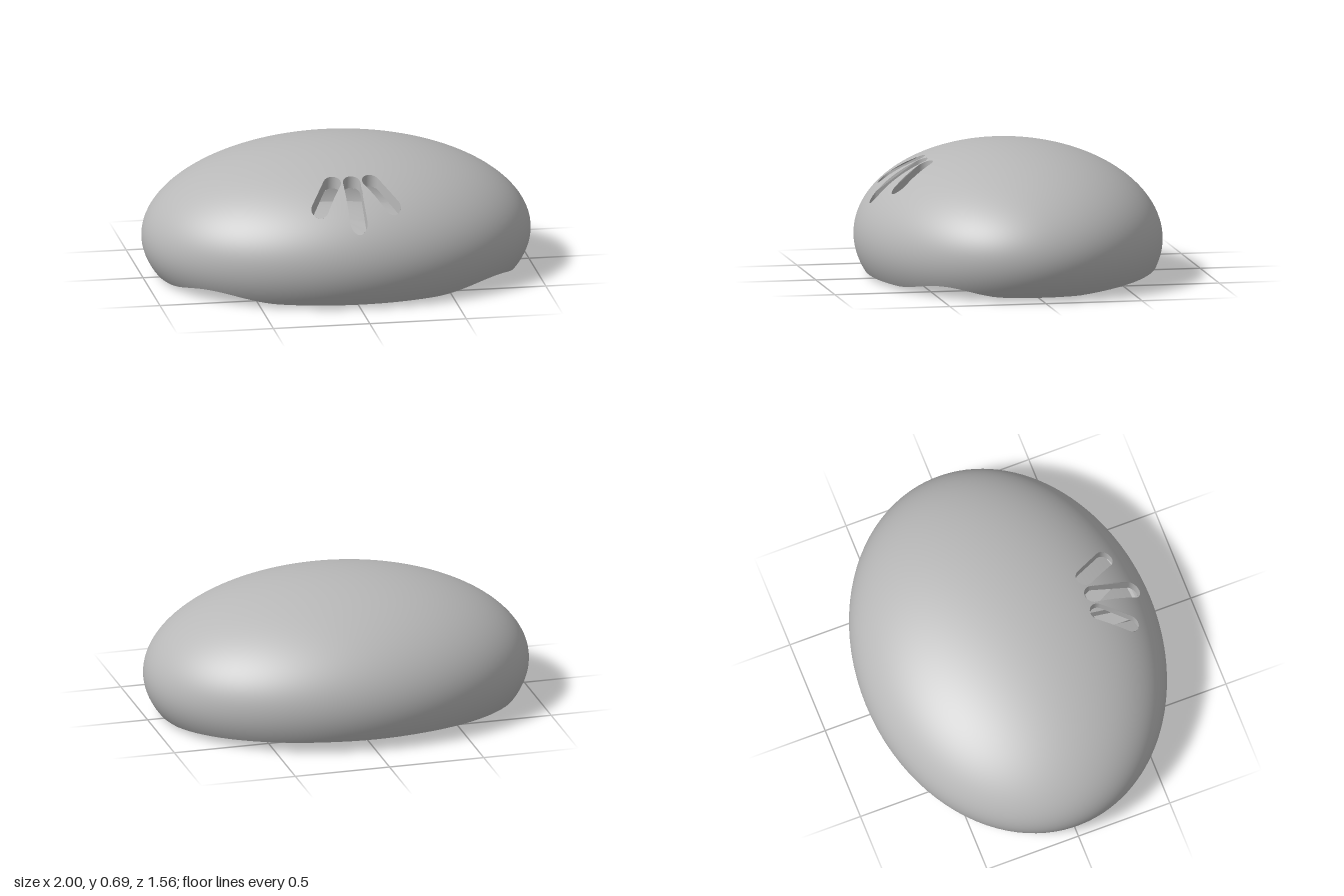
import * as THREE from 'three';

const RX = 1, RY = 0.49, RZ = 0.78, MID = 0.2;   // outer dome
const IX = 0.94, IY = 0.43, IZ = 0.73;           // inner hollow
const SLOT_R = 0.045, SNAP = 0.013, SEGS = 150;
const SLOTS = [[0, 0.465, 0, 0.675], [0.1, 0.457, 0.186, 0.597], [-0.1, 0.457, -0.186, 0.597]];

// Wavy lower rim: low at the front and sides, arched between, raised at the back
function rimY(angle) {
  const a = Math.abs(Math.atan2(Math.sin(angle), Math.cos(angle)));
  if (a < 0.44) return 0.02;
  if (a < 1.3) return 0.02 + 0.042 * Math.sin(Math.PI * (a - 0.44) / 0.86) ** 2;
  return 0.02 + 0.04 * Math.min(1, Math.max(0, (-Math.cos(a) * 0.75 - 0.2) / 0.53));
}
const rimAngle = (a) => Math.acos((rimY(a) - MID) / RY);

// Heights of the surfaces over a point in plan
const domeY = (x, z, rx, ry, rz) => MID + ry * Math.sqrt(Math.max(0, 1 - (x / rx) ** 2 - (z / rz) ** 2));
const outerY = (x, z) => domeY(x, z, RX, RY, RZ);
const innerY = (x, z) => domeY(x, z, IX, IY, IZ);
function undersideY(x, z) {
  const a = Math.atan2(x, z / RZ);
  const r = Math.hypot(x, z / RZ) / Math.sin(rimAngle(a));
  return 0.02 + (rimY(a) - 0.02) * r * r + 0.19 * (1 - r * r);
}
const floorY = (x, z) => undersideY(x, z) + 0.06;

// Signed distance to the nearest slot, with the nearest point on its edge
function slotEdge(x, z) {
  let best = { d: Infinity };
  for (const [x0, z0, x1, z1] of SLOTS) {
    const dx = x1 - x0, dz = z1 - z0;
    const t = Math.min(1, Math.max(0, ((x - x0) * dx + (z - z0) * dz) / (dx * dx + dz * dz)));
    const cx = x0 + t * dx, cz = z0 + t * dz;
    const l = Math.hypot(x - cx, z - cz) || 1e-6;
    const d = l - SLOT_R;
    if (d < best.d) best = { d, x: cx + (x - cx) / l * SLOT_R, z: cz + (z - cz) / l * SLOT_R };
  }
  return best;
}

// Polar surface, finer towards the front, with the slots cut cleanly out of it.
// point(v, a) gives [x, y, z, canCut]; height(x, z) replaces y on cut edges.
function cutSurface(rows, point, height, faceUp) {
  const pos = [], depth = [], index = [];
  for (let j = 0; j <= rows; j++) {
    for (let i = 0; i < SEGS; i++) {
      const t = -Math.PI + (i / SEGS) * Math.PI * 2;
      let [x, y, z, canCut] = point(j / rows, t - 0.7 * Math.sin(t));
      const e = canCut ? slotEdge(x, z) : { d: 1 };
      if (e.d < 0 && e.d > -SNAP) {
        x = e.x;
        z = e.z;
        y = height(x, z);
      }
      pos.push(x, y, z);
      depth.push(e.d);
    }
  }
  const addTri = (a, b, c) => {
    const d = [depth[a], depth[b], depth[c]];
    if (Math.min(...d) <= -SNAP || Math.max(...d) < 0) return;
    if (faceUp) index.push(a, b, c);
    else index.push(a, c, b);
  };
  for (let j = 0; j < rows; j++) {
    for (let i = 0; i < SEGS; i++) {
      const n = (i + 1) % SEGS;
      const a = j * SEGS + i, b = a + SEGS, c = j * SEGS + n, d = c + SEGS;
      if (j > 0) addTri(a, b, c);
      addTri(c, b, d);
    }
  }
  return finish(pos, index);
}

function finish(pos, index) {
  const g = new THREE.BufferGeometry();
  g.setAttribute('position', new THREE.Float32BufferAttribute(pos, 3));
  g.setIndex(index);
  g.computeVertexNormals();
  return g;
}

// Upright wall around one slot, between two surfaces
function slotWall([x0, z0, x1, z1], top, bottom) {
  const pos = [], index = [], half = 16, count = 2 * (half + 1);
  const dir = Math.atan2(z1 - z0, x1 - x0);
  for (let k = 0; k < count; k++) {
    const far = k <= half;
    const a = dir - Math.PI / 2 + Math.PI * (far ? k : k - 1) / half;
    const x = (far ? x1 : x0) + Math.cos(a) * SLOT_R;
    const z = (far ? z1 : z0) + Math.sin(a) * SLOT_R;
    pos.push(x, top(x, z), z, x, bottom(x, z), z);
    const p = 2 * k, q = 2 * ((k + 1) % count);
    index.push(p, q, p + 1, q, q + 1, p + 1);
  }
  return finish(pos, index);
}

export function createModel() {
  const group = new THREE.Group();
  const grey = new THREE.MeshStandardMaterial({ color: 0xb8b8b8, side: THREE.DoubleSide });
  grey.name = 'grey';
  const add = (name, geometry) => {
    const mesh = new THREE.Mesh(geometry, grey);
    mesh.name = name;
    group.add(mesh);
    return mesh;
  };

  const dome = (rx, ry, rz, end) => (v, a) => {
    const p = v * end(a), s = Math.sin(p);
    return [rx * s * Math.sin(a), MID + ry * Math.cos(p), rz * s * Math.cos(a), p < Math.PI / 2];
  };
  const disc = (height, scale) => (v, a) => {
    const r = v * scale * Math.sin(rimAngle(a));
    const x = r * Math.sin(a), z = RZ * r * Math.cos(a);
    return [x, height(x, z), z, true];
  };

  // Outer shell and the hollow inside it
  add('outerShell', cutSurface(130, dome(RX, RY, RZ, rimAngle), outerY, true));
  add('innerShell', cutSurface(90, dome(IX, IY, IZ, () => Math.PI / 2 + 0.15), innerY, false));

  // Concave underside and the floor above it
  add('underside', cutSurface(80, disc(undersideY, 1), undersideY, false));
  add('hollowFloor', cutSurface(80, disc(floorY, 0.97), floorY, true));

  // Three fanned slots through shell and underside
  SLOTS.forEach((slot, i) => {
    add('shellSlotWall' + (i + 1), slotWall(slot, outerY, innerY));
    add('undersideSlotWall' + (i + 1), slotWall(slot, floorY, undersideY));
  });

  // Two pegs underneath
  for (const side of [1, -1]) {
    const peg = add(side > 0 ? 'leftPeg' : 'rightPeg', new THREE.CylinderGeometry(0.045, 0.045, 0.21, 32));
    peg.position.set(0.33 * side, 0.105, 0);
  }
  return group;
}
